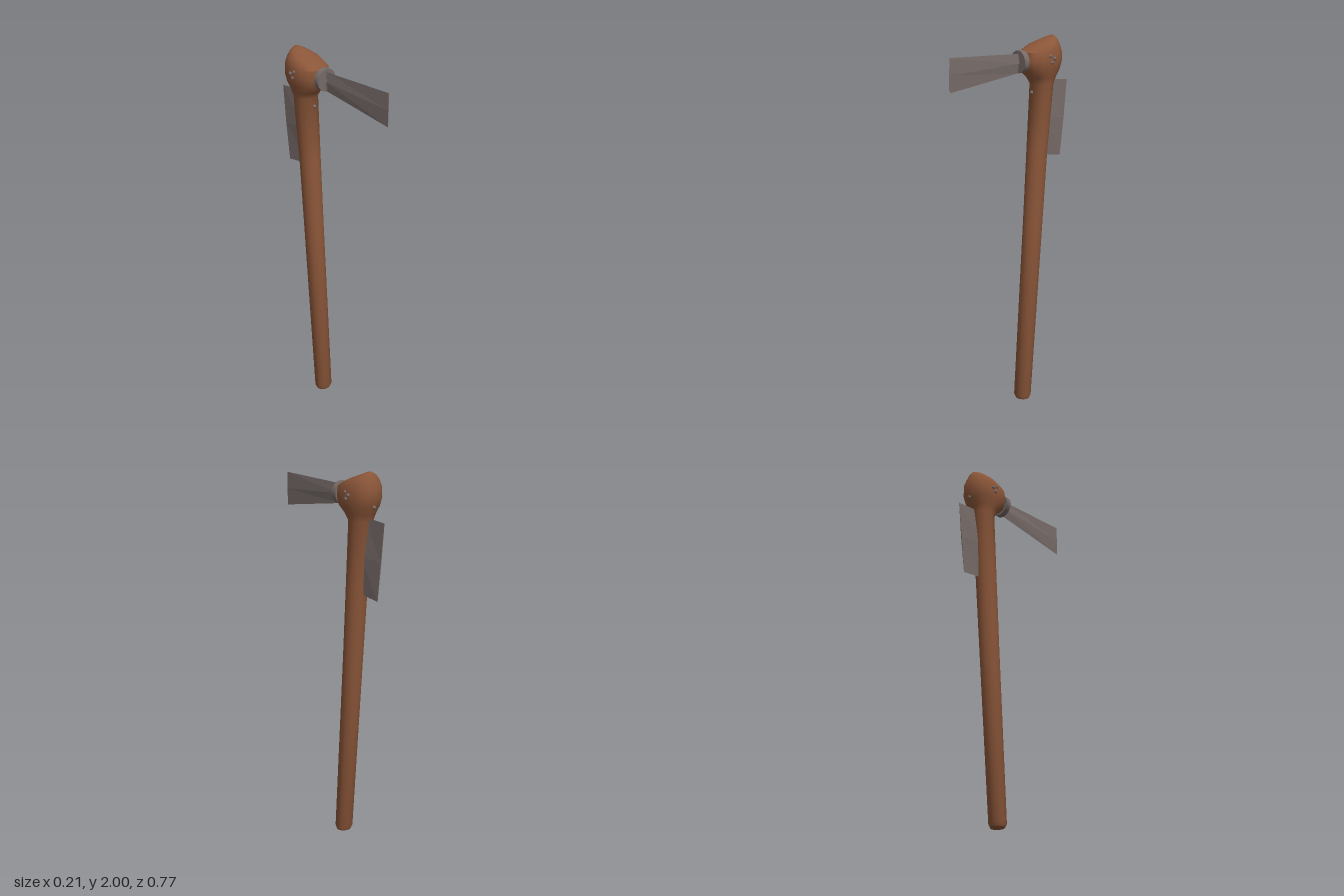
import * as THREE from 'three';
import { toCreasedNormals } from 'three/addons/utils/BufferGeometryUtils.js';

// Skin a row of closed cross-sections and cap both ends.
function loft(rings, crease) {
  const n = rings[0].length, last = (rings.length - 1) * n;
  const pos = rings.flat(2), index = [];
  for (let i = 0; i < rings.length - 1; i++) {
    for (let j = 0; j < n; j++) {
      const a = i * n + j, b = i * n + (j + 1) % n;
      index.push(a, b, b + n, a, b + n, a + n);
    }
  }
  for (let j = 1; j < n - 1; j++) {
    index.push(0, j + 1, j, last, last + j, last + j + 1);
  }
  const geo = new THREE.BufferGeometry();
  geo.setAttribute('position', new THREE.Float32BufferAttribute(pos, 3));
  geo.setIndex(index);
  return toCreasedNormals(geo, crease);
}

export function createModel() {
  const group = new THREE.Group();
  const wood = new THREE.MeshStandardMaterial({ name: 'brown wood', color: 0x8b5639 });
  const metal = new THREE.MeshStandardMaterial({ name: 'grey iron', color: 0x766b68 });
  const add = (name, geo, mat) => {
    const mesh = new THREE.Mesh(geo, mat);
    mesh.name = name;
    group.add(mesh);
    return mesh;
  };

  // Leaning handle swelling into a knob: [y, front z, back z, half width, squareness]
  const profile = [
    [0.0, -0.05, -0.12, 0.04, 1],
    [0.02, -0.04, -0.13, 0.048, 1],
    [1.0, -0.1, -0.208, 0.052, 1],
    [1.4, -0.125, -0.237, 0.057, 1],
    [1.75, -0.148, -0.272, 0.066, 1],
    [1.785, -0.125, -0.285, 0.076, 0.95],
    [1.825, -0.083, -0.308, 0.09, 0.88],
    [1.87, -0.075, -0.32, 0.097, 0.85],
    [1.92, -0.08, -0.322, 0.092, 0.85],
    [1.957, -0.15, -0.308, 0.078, 0.9],
    [1.985, -0.225, -0.3, 0.043, 1],
    [2.0, -0.26, -0.288, 0.01, 1],
  ];
  const soft = (v, e) => Math.sign(v) * Math.abs(v) ** e;
  const rings = profile.map(([y, zf, zb, w, e]) => Array.from({ length: 16 }, (_, j) => {
    const a = j / 16 * Math.PI * 2;
    return [w * soft(Math.sin(a), e), y, (zf + zb) / 2 + (zf - zb) / 2 * soft(Math.cos(a), e)];
  }));
  add('handle', loft(rings, 0.85), wood);

  // Diamond section of a blade between a lower and an upper edge point
  const section = (y0, z0, y1, z1, t) => [
    [t, (y0 + y1) / 2, (z0 + z1) / 2], [0, y1, z1],
    [-t, (y0 + y1) / 2, (z0 + z1) / 2], [0, y0, z0],
  ];

  // Long front blade, flaring towards its cutting edge
  add('frontBlade', loft([
    section(1.815, -0.06, 1.915, -0.06, 0.022),
    section(1.812, -0.042, 1.915, -0.042, 0.007),
    section(1.745, 0.387, 1.922, 0.387, 0.003),
  ], 0.02), metal);

  // Short rear blade set along the back of the handle
  add('rearBlade', loft([
    section(1.365, -0.2, 1.768, -0.24, -0.012),
    section(1.348, -0.342, 1.758, -0.387, -0.003),
  ], 0.02), metal);

  // Collar clamping the front blade to the knob
  const collar = add('collar', toCreasedNormals(new THREE.CylinderGeometry(0.06, 0.06, 0.03, 16), 0.6), metal);
  collar.rotation.x = Math.PI / 2;
  collar.position.set(0, 1.873, -0.065);

  // Round studs: three on each cheek, one in front, one behind
  const studGeo = new THREE.SphereGeometry(0.01, 10, 8);
  const studs = [[0, 1.705, -0.143], [0, 1.827, -0.309]];
  for (const s of [-1, 1]) {
    studs.push([s * 0.091, 1.9, -0.195], [s * 0.094, 1.887, -0.22], [s * 0.094, 1.867, -0.203]);
  }
  for (const p of studs) add('stud', studGeo, metal).position.set(...p);

  return group;
}
